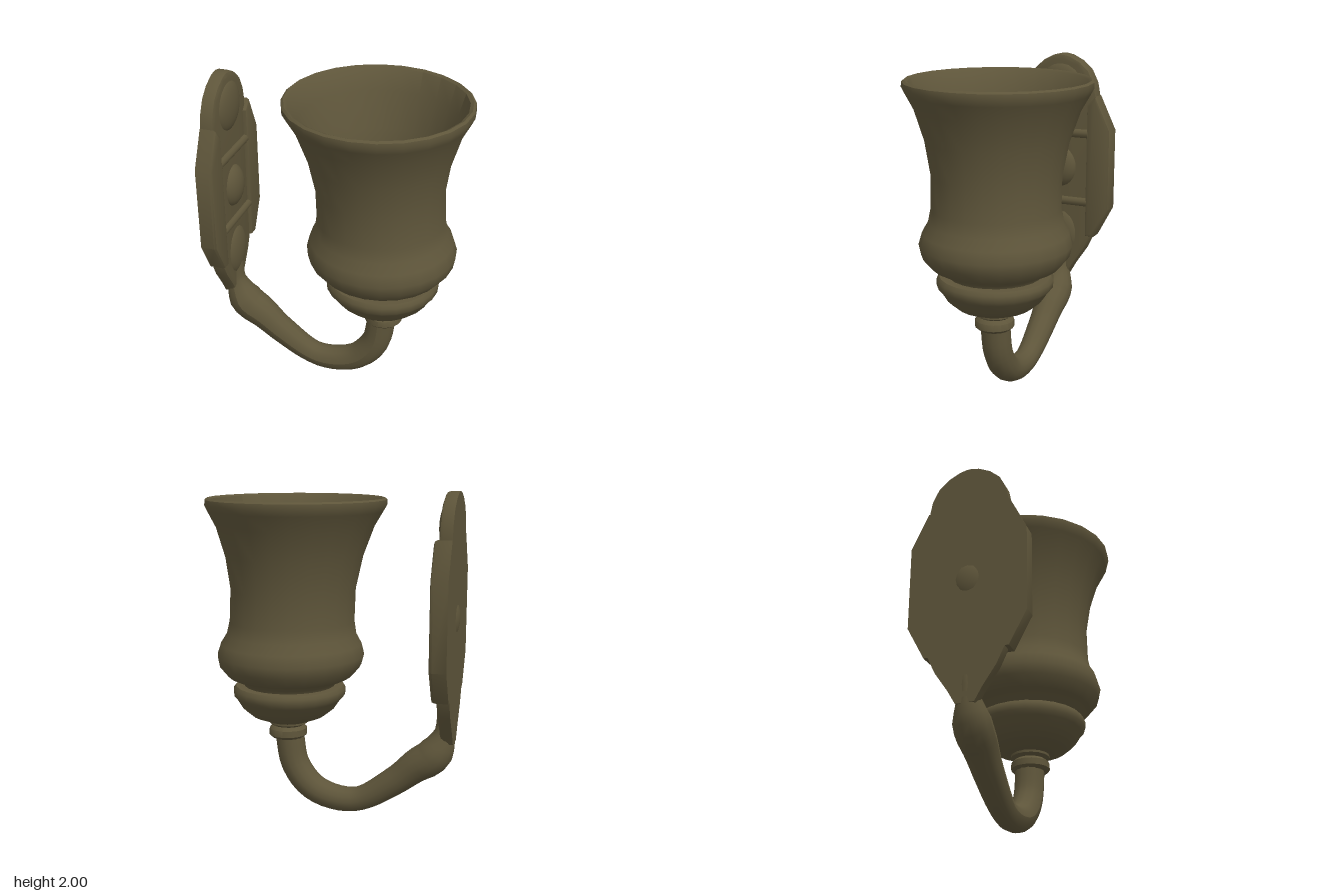
import * as THREE from 'three';
import { toCreasedNormals } from 'three/addons/utils/BufferGeometryUtils.js';

const bronze = new THREE.MeshStandardMaterial({ color: 0x5e553a });
bronze.name = 'agedBronze';

const BACK = -0.77; // wall face of the back plate

export function createModel() {
  const group = new THREE.Group();
  const add = (name, geometry) => {
    const mesh = new THREE.Mesh(geometry, bronze);
    mesh.name = name;
    group.add(mesh);
    return mesh;
  };

  // Turned parts share a slightly leaning axis
  const turned = (name, profile, segments = 24) => {
    const g = new THREE.LatheGeometry(profile.map(([r, y]) => new THREE.Vector2(r, y)), segments);
    const p = g.attributes.position;
    for (let i = 0; i < p.count; i++) {
      p.setX(i, p.getX(i) + 0.285 - 0.043 * (p.getY(i) - 0.5));
    }
    return add(name, toCreasedNormals(g, 0.8));
  };

  // Flared cup with a hollow inside
  turned('cup', [
    [0, 0.79], [0.28, 0.79], [0.29, 0.815], [0.385, 0.86], [0.44, 0.925], [0.455, 0.99], [0.435, 1.06],
    [0.4, 1.12], [0.385, 1.2], [0.384, 1.4], [0.42, 1.6], [0.48, 1.78], [0.53, 1.87],
    [0.551, 1.91], [0.549, 1.94], [0.535, 1.95], [0.515, 1.94], [0.47, 1.81], [0.39, 1.6],
    [0.355, 1.4], [0.352, 1.2], [0.365, 1.12], [0.4, 1.0], [0.37, 0.92], [0, 0.88],
  ]);

  // Dish under the cup
  turned('dish', [
    [0, 0.56], [0.13, 0.565], [0.23, 0.605], [0.29, 0.655], [0.325, 0.71], [0.348, 0.735],
    [0.35, 0.775], [0.335, 0.797], [0, 0.8],
  ]);

  // Collar joining dish and arm
  turned('collar', [
    [0, 0.455], [0.1, 0.457], [0.12, 0.475], [0.118, 0.515], [0.095, 0.535], [0.12, 0.55], [0.12, 0.575], [0, 0.58],
  ], 16);

  // Curved arm: a tube whose radius follows a short list of stops
  const path = new THREE.CatmullRomCurve3([
    [-0.715, 0.75], [-0.71, 0.56], [-0.645, 0.41], [-0.54, 0.335], [-0.4, 0.22], [-0.15, 0.078],
    [0.1, 0.12], [0.235, 0.27], [0.28, 0.5],
  ].map(([x, y]) => new THREE.Vector3(x, y, 0)));
  const stops = [[0, 0.05], [0.11, 0.06], [0.2, 0.11], [0.26, 0.108], [0.35, 0.092], [0.55, 0.075], [0.8, 0.09], [1, 0.09]];
  const radiusAt = (u) => {
    let k = 1;
    while (k < stops.length - 1 && u > stops[k][0]) k++;
    const [u0, r0] = stops[k - 1], [u1, r1] = stops[k];
    return THREE.MathUtils.lerp(r0, r1, (u - u0) / (u1 - u0));
  };
  const steps = 36, sides = 14;
  const tube = new THREE.TubeGeometry(path, steps, 1, sides, false);
  const pos = tube.attributes.position;
  const v = new THREE.Vector3();
  for (let i = 0; i <= steps; i++) {
    const centre = path.getPointAt(i / steps);
    for (let j = 0; j <= sides; j++) {
      const n = i * (sides + 1) + j;
      v.fromBufferAttribute(pos, n).sub(centre).multiplyScalar(radiusAt(i / steps)).add(centre);
      pos.setXYZ(n, v.x, v.y, v.z);
    }
  }
  tube.computeVertexNormals();
  add('arm', tube);

  // Back plate pieces: outlines in (z, y), extruded away from the wall
  const plate = (name, shape, depth, bevel) => {
    const g = new THREE.ExtrudeGeometry(shape, {
      depth: depth - bevel, bevelThickness: bevel, bevelSize: bevel, bevelOffset: -bevel,
      bevelSegments: 2, curveSegments: 10,
    });
    // flatten the rear bevel against the wall
    const p = g.attributes.position;
    for (let i = 0; i < p.count; i++) p.setZ(i, Math.max(0, p.getZ(i)));
    g.rotateY(Math.PI / 2);
    g.translate(BACK, 0, 0);
    return add(name, toCreasedNormals(g, 0.6));
  };
  const outline = (points) => new THREE.Shape(points.map(([z, y]) => new THREE.Vector2(z, y)));
  const mirrored = (half) => outline([...half, ...half.map(([z, y]) => [-z, y]).reverse()]);

  // Long body with rounded crown and tapering tail
  plate('backPlate', mirrored([
    [0.055, 0.5], [0.1, 0.58], [0.18, 0.7], [0.235, 0.82], [0.245, 1.0], [0.245, 1.6], [0.245, 1.74],
    [0.23, 1.82], [0.19, 1.9], [0.13, 1.955], [0.06, 1.99], [0.015, 2.0],
  ]), 0.08, 0.025);

  // Side rails forming the eight-sided middle
  for (const s of [-1, 1]) {
    const points = [[0.19, 0.8], [0.25, 0.8], [0.355, 1.0], [0.355, 1.52], [0.25, 1.74], [0.19, 1.68]];
    const rail = points.map(([z, y]) => [s * z, y]);
    plate(s > 0 ? 'rightRail' : 'leftRail', outline(s > 0 ? rail : rail.reverse()), 0.105, 0.02);
  }

  // Cross bars between the three ornaments
  for (const y of [1.03, 1.49]) {
    const bar = new THREE.CylinderGeometry(0.03, 0.03, 0.4, 10);
    bar.rotateX(Math.PI / 2);
    bar.translate(-0.695, y, 0);
    add('crossBar', bar);
  }

  // Domed ornaments: crown, centre and tail
  for (const [name, y, h, w, d] of [
    ['crownOrnament', 1.79, 0.16, 0.16, 0.055],
    ['centreBoss', 1.26, 0.14, 0.12, 0.075],
    ['tailOrnament', 0.8, 0.17, 0.13, 0.055],
  ]) {
    const g = new THREE.SphereGeometry(1, 18, 12);
    g.scale(d, h, w);
    g.translate(-0.71, y, 0);
    add(name, g);
  }

  return group;
}
